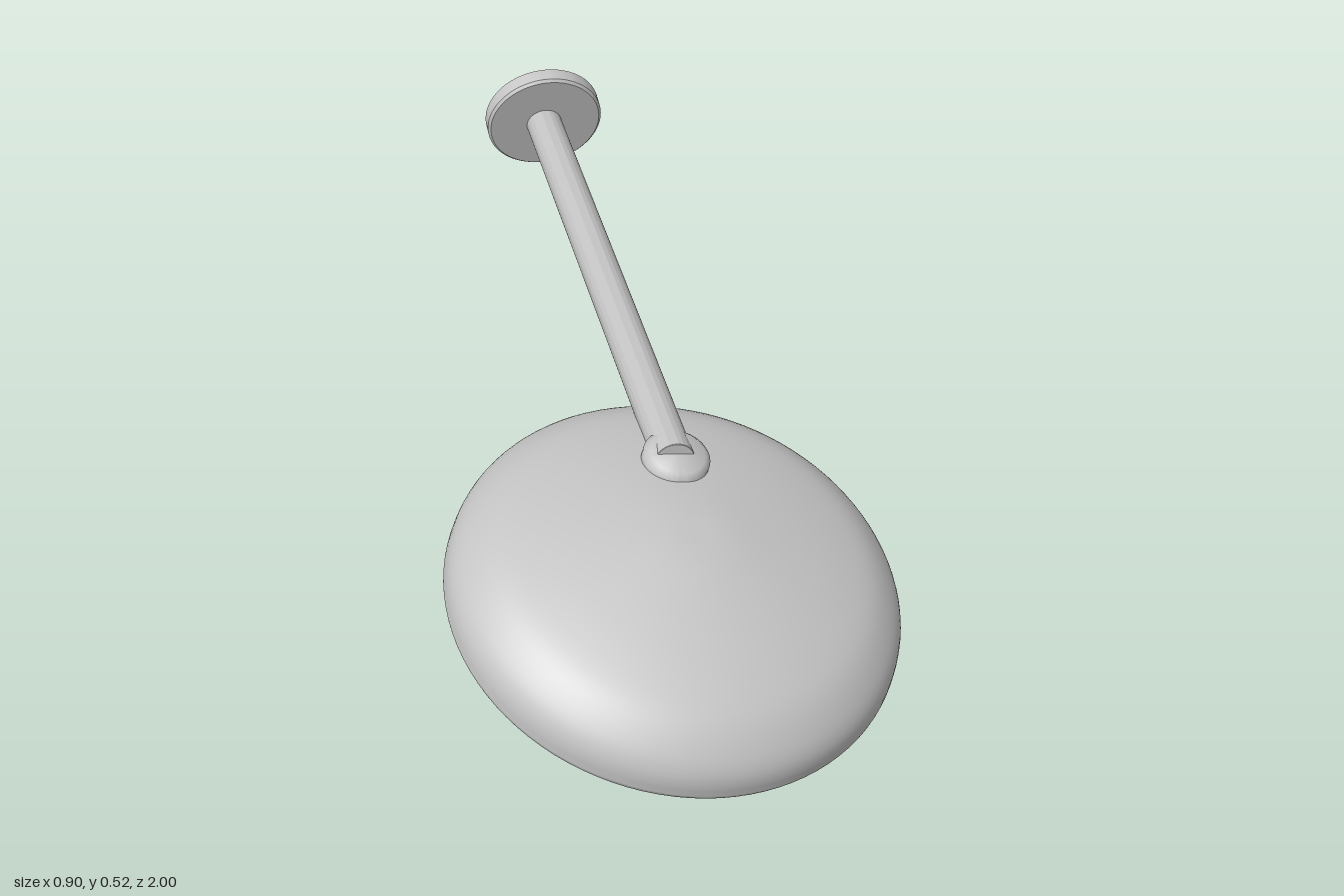
import * as THREE from 'three';
import { toCreasedNormals } from 'three/addons/utils/BufferGeometryUtils.js';

const UP = new THREE.Vector3(0, 1, 0);

// Turned part from [radius, height] pairs, smooth apart from hard edges
function turned(name, points, material, crease = 0.5) {
  const profile = points.map(([r, y]) => new THREE.Vector2(r, y));
  const geometry = toCreasedNormals(new THREE.LatheGeometry(profile, 96), crease);
  const mesh = new THREE.Mesh(geometry, material);
  mesh.name = name;
  return mesh;
}

// Flat disc profile with small bevels
const disc = (r, h, b) => [
  [0, -h / 2], [r - b, -h / 2], [r, -h / 2 + b], [r, h / 2 - b], [r - b, h / 2], [0, h / 2],
];

export function createModel() {
  const model = new THREE.Group();
  model.name = 'showerHead';

  const metal = new THREE.MeshStandardMaterial({ color: 0xc4c4c4 });
  metal.name = 'light grey metal';
  const rubber = new THREE.MeshStandardMaterial({ color: 0x5e6063 });
  rubber.name = 'dark grey face';

  // Tilted head
  const head = new THREE.Group();
  head.name = 'head';
  head.position.set(0, 0.154, 0.56);
  head.quaternion.setFromUnitVectors(UP, new THREE.Vector3(0.147, 0.957, 0.25).normalize());
  model.add(head);

  // Domed shell: flat underside, rounded rim, then a smooth curve over the top
  const dome = new THREE.SplineCurve([
    [0.435, -0.031], [0.449, -0.018], [0.452, 0], [0.445, 0.04], [0.42, 0.077], [0.37, 0.117],
    [0.3, 0.145], [0.21, 0.17], [0.11, 0.191], [0.05, 0.199], [0, 0.2],
  ].map(([r, y]) => new THREE.Vector2(r, y)));
  const shell = [[0, -0.033], [0.41, -0.033], ...dome.getPoints(40).map((p) => [Math.max(p.x, 0), p.y])];
  head.add(turned('shell', shell, metal));

  // Dark spray face under the shell
  const face = turned('sprayFace', disc(0.412, 0.006, 0.001), rubber);
  face.position.y = -0.034;
  head.add(face);

  // Collar where the arm enters the shell
  const collar = turned('collar', disc(0.067, 0.05, 0.012), metal, 0.9);
  collar.position.set(0.006, 0.172, -0.2);
  head.add(collar);

  // Straight arm
  const arm = turned('arm', disc(0.041, 1.36, 0.001), metal);
  arm.rotation.x = Math.PI / 2;
  arm.position.set(0.031, 0.374, -0.26);
  model.add(arm);

  // Leaning wall plate
  const plate = turned('wallPlate', disc(0.135, 0.044, 0.006), metal);
  plate.quaternion.setFromUnitVectors(UP, new THREE.Vector3(0, 0.259, -0.966).normalize());
  plate.position.set(0.033, 0.381, -0.945);
  model.add(plate);

  return model;
}
